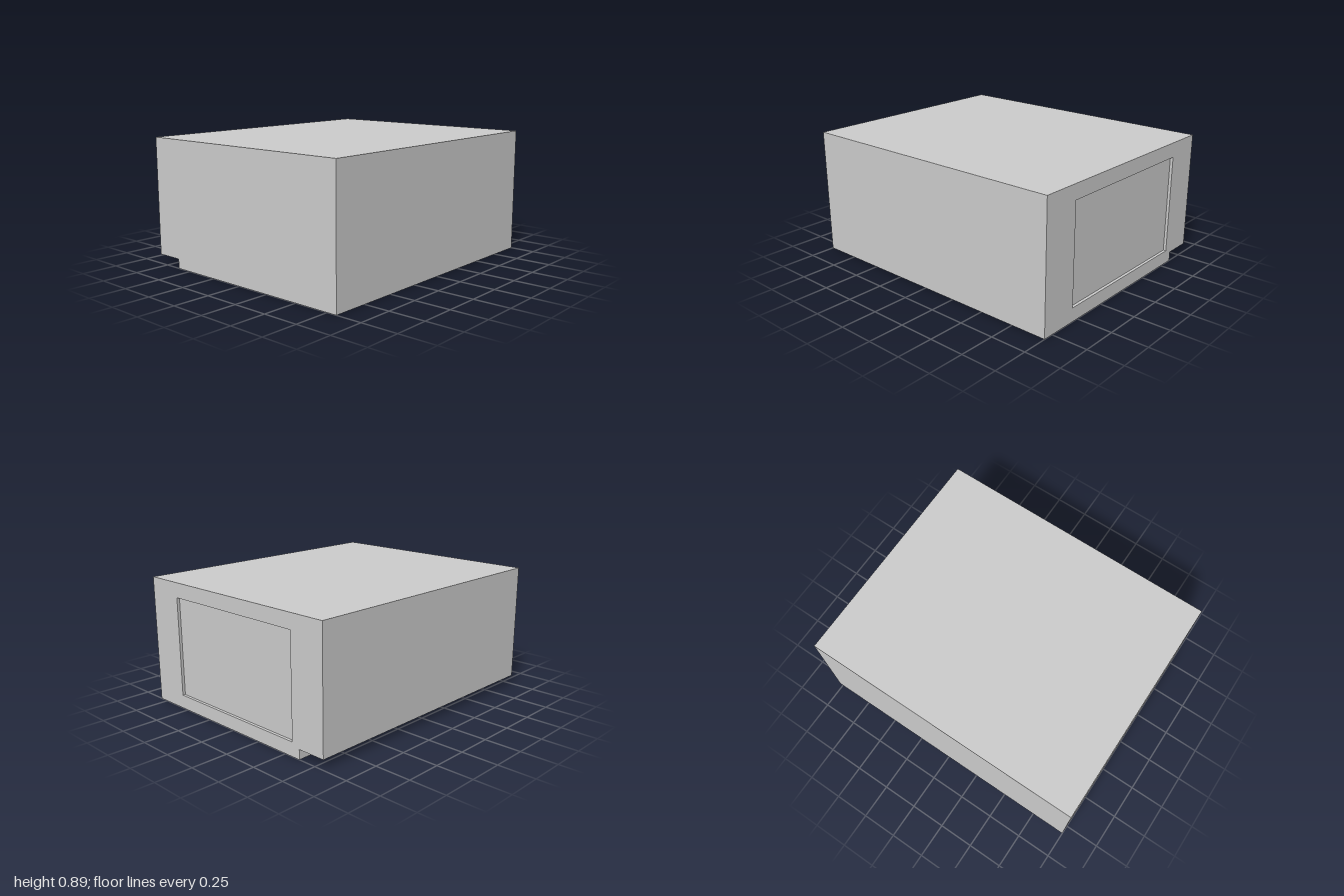
import * as THREE from 'three';

const HALF_W = 0.82, HEIGHT = 0.888, BACK = -1, FRONT = 1;
const RECESS = 0.02; // depth of the sunken back panel

// Front outline: a rectangle with a step cut out of one lower corner
function outline() {
  return new THREE.Shape([
    [-0.62, 0], [HALF_W, 0], [HALF_W, HEIGHT],
    [-HALF_W, HEIGHT], [-HALF_W, 0.066], [-0.62, 0.066],
  ].map(([x, y]) => new THREE.Vector2(x, y)));
}

export function createModel() {
  const group = new THREE.Group();
  group.name = 'steppedBox';
  const material = new THREE.MeshStandardMaterial({ color: 0xcccccc, flatShading: true });

  const addSlab = (name, shape, zBack, zFront) => {
    const geometry = new THREE.ExtrudeGeometry(shape, { depth: zFront - zBack, bevelEnabled: false });
    const mesh = new THREE.Mesh(geometry, material);
    mesh.name = name;
    mesh.position.z = zBack;
    group.add(mesh);
  };

  // Solid body, whose rear end is the floor of the recess
  addSlab('body', outline(), BACK + RECESS, FRONT);

  // Thin back frame around the recessed panel
  const frame = outline();
  frame.holes.push(new THREE.Path([
    [-0.56, 0.095], [-0.56, 0.785], [0.55, 0.785], [0.55, 0.095],
  ].map(([x, y]) => new THREE.Vector2(x, y))));
  addSlab('backFrame', frame, BACK, BACK + RECESS);

  return group;
}
